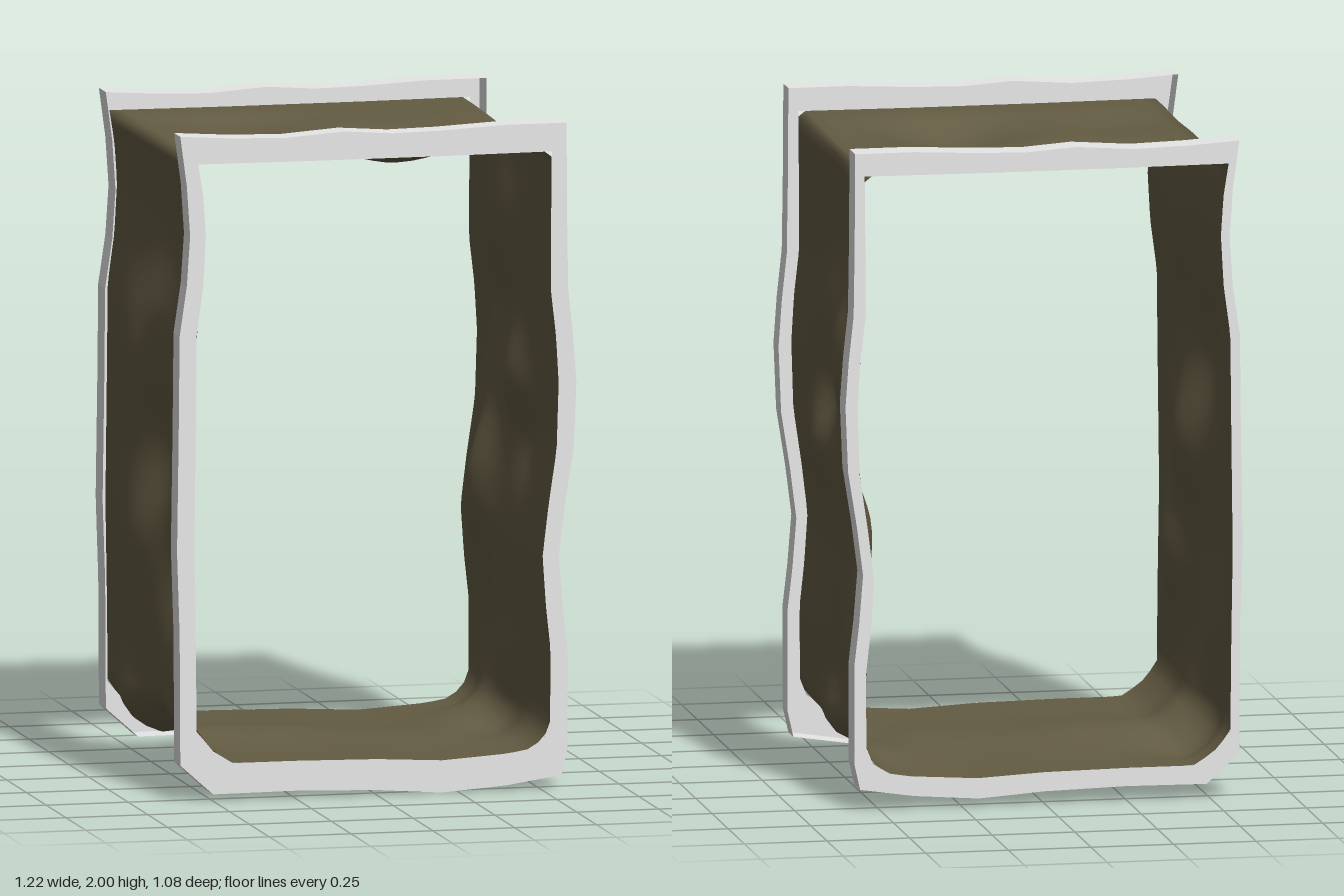
import * as THREE from 'three';

// Wavy outline of a frame, clockwise from the upper left corner
const OUTER = [[-0.6, 2], [-0.45, 1.99], [-0.28, 1.985], [-0.1, 1.998], [0.05, 1.987], [0.2, 1.99], [0.4, 2], [0.58, 2],
  [0.582, 1.7], [0.585, 1.5], [0.6, 1.36], [0.61, 1.22], [0.602, 1.02], [0.575, 0.85], [0.556, 0.7], [0.568, 0.55],
  [0.583, 0.42], [0.583, 0.12], [0.565, 0.04], [0.4, 0.015], [0.2, 0], [0, 0.015], [-0.25, 0.022], [-0.5, 0.02],
  [-0.6, 0.11], [-0.602, 0.5], [-0.61, 0.75], [-0.605, 1.1], [-0.602, 1.4], [-0.58, 1.55], [-0.57, 1.7], [-0.58, 1.85]];
// Opening of the frame, which the tunnel follows
const INNER = [[-0.545, 1.915], [-0.2, 1.913], [0.2, 1.913], [0.535, 1.915],
  [0.533, 1.7], [0.532, 1.5], [0.548, 1.36], [0.556, 1.22], [0.55, 1.02], [0.525, 0.85], [0.507, 0.7], [0.517, 0.55],
  [0.531, 0.42], [0.53, 0.2], [0.51, 0.15], [0.46, 0.12], [0.4, 0.11], [0.2, 0.097], [0, 0.108], [-0.25, 0.112],
  [-0.44, 0.112], [-0.5, 0.15], [-0.55, 0.21], [-0.553, 0.5], [-0.557, 0.75], [-0.553, 1.1], [-0.55, 1.4],
  [-0.53, 1.55], [-0.522, 1.7], [-0.53, 1.82]];

// Dents (negative) and bulges (positive) in the tunnel: x, y, z, depth, radius
const BUMPS = [
  [0.13, 1.92, 0.2, -0.065, 0.24], [-0.25, 1.92, -0.22, -0.035, 0.25], [-0.35, 1.92, 0.2, -0.02, 0.2],
  [0.52, 0.82, -0.33, -0.045, 0.22], [0.55, 1.17, 0.06, -0.055, 0.2], [0.53, 1.65, -0.05, -0.035, 0.24],
  [0.54, 1.36, -0.24, 0.03, 0.18], [0.55, 1.0, 0.16, 0.025, 0.15], [0.53, 0.33, 0, -0.025, 0.2],
  [-0.55, 0.98, 0.05, -0.058, 0.24], [-0.55, 0.62, 0.24, -0.055, 0.22], [-0.53, 1.6, 0.1, -0.02, 0.22],
  [-0.55, 1.25, -0.2, 0.03, 0.2], [-0.55, 0.7, -0.2, 0.02, 0.2],
  [-0.2, 0.11, 0, -0.028, 0.26], [0.25, 0.1, 0.05, -0.018, 0.25],
  [-0.5, 0.15, 0, -0.035, 0.2], [-0.5, 0.15, -0.3, 0.035, 0.16],
  [0.5, 0.13, 0.08, 0.025, 0.16], [0.5, 0.14, -0.22, -0.035, 0.17]];

const toVectors = (list) => list.map(([x, y]) => new THREE.Vector2(x, y));
// Towards the rear (t = 1) the outline shrinks a little and the opening widens
const outerAt = (p, t) => new THREE.Vector2(p.x * (1 - 0.015 * t) + 0.003 * t, p.y * (1 - 0.02 * t) + 0.024 * t);
const innerAt = (p, t) => new THREE.Vector2(p.x * (1 + 0.02 * t), p.y - 0.012 * t * (1 - p.y / 1.85));

// Sheet-metal frame: a flat ring at the tunnel mouth and a rim folded back along its outline
function makeFrame(name, t, mouthZ, rimZ, material) {
  const outline = toVectors(OUTER).map((p) => outerAt(p, t));
  const shape = new THREE.Shape(outline);
  shape.holes.push(new THREE.Path(toVectors(INNER).map((p) => innerAt(p, t))));
  const face = new THREE.Mesh(new THREE.ShapeGeometry(shape).translate(0, 0, mouthZ), material);
  face.name = name + 'Face';

  const positions = [];
  const [zFront, zBack] = [Math.max(mouthZ, rimZ), Math.min(mouthZ, rimZ)];
  outline.forEach((a, i) => {
    const b = outline[(i + 1) % outline.length];
    positions.push(a.x, a.y, zFront, b.x, b.y, zFront, a.x, a.y, zBack,
      b.x, b.y, zFront, b.x, b.y, zBack, a.x, a.y, zBack);
  });
  const rimGeometry = new THREE.BufferGeometry();
  rimGeometry.setAttribute('position', new THREE.Float32BufferAttribute(positions, 3));
  rimGeometry.computeVertexNormals();
  const rim = new THREE.Mesh(rimGeometry, material);
  rim.name = name + 'Rim';

  const frame = new THREE.Group();
  frame.name = name;
  frame.add(face, rim);
  return frame;
}

function makeTunnel(material) {
  const sides = 150, rows = 32, half = 0.5395;
  const path = new THREE.Path(toVectors([...INNER, INNER[0]]));
  const ring = path.getSpacedPoints(sides).slice(0, sides);
  const positions = [], indices = [];
  for (let r = 0; r <= rows; r++) {
    const z = half - (2 * half * r) / rows;
    const fade = THREE.MathUtils.smoothstep(half - Math.abs(z), 0.06, 0.2);
    for (let i = 0; i < sides; i++) {
      // Outward direction of the clockwise outline
      const tangent = ring[(i + 2) % sides].clone().sub(ring[(i + sides - 2) % sides]).normalize();
      const p = innerAt(ring[i], r / rows);
      let push = 0;
      for (const [bx, by, bz, amount, radius] of BUMPS) {
        const d2 = (p.x - bx) ** 2 + (p.y - by) ** 2 + (z - bz) ** 2;
        push += amount * Math.exp((-1.6 * d2) / (radius * radius));
      }
      push *= fade;
      positions.push(p.x - tangent.y * push, p.y + tangent.x * push, z);
      if (r < rows) {
        const a = r * sides + i, b = r * sides + (i + 1) % sides;
        indices.push(a, b, a + sides, b, b + sides, a + sides);
      }
    }
  }
  const geometry = new THREE.BufferGeometry();
  geometry.setAttribute('position', new THREE.Float32BufferAttribute(positions, 3));
  geometry.setIndex(indices);
  geometry.computeVertexNormals();
  return new THREE.Mesh(geometry, material);
}

export function createModel() {
  const frameGrey = new THREE.MeshStandardMaterial({ color: 0xe7e7e7, side: THREE.DoubleSide });
  frameGrey.name = 'frame grey';
  const earthBrown = new THREE.MeshStandardMaterial({ color: 0x645c43, side: THREE.DoubleSide });
  earthBrown.name = 'earth brown';

  const model = new THREE.Group();
  model.name = 'tunnelSection';

  const tunnel = makeTunnel(earthBrown);
  tunnel.name = 'tunnelWall';

  model.add(
    tunnel,
    makeFrame('frontFrame', 0, 0.54, 0.462, frameGrey),
    makeFrame('backFrame', 1, -0.54, -0.452, frameGrey),
  );
  return model;
}
